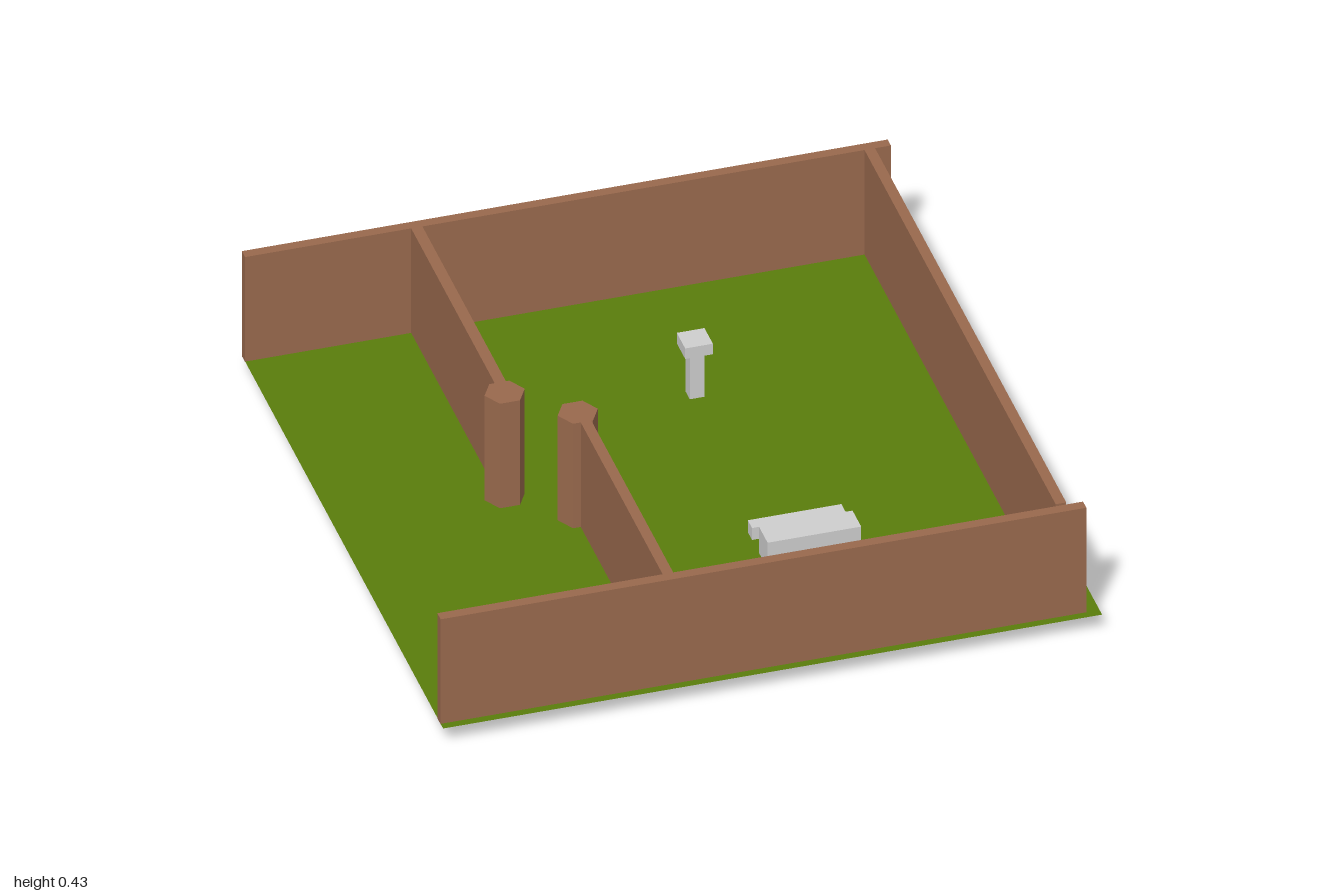
import * as THREE from 'three';

export function createModel() {
  const group = new THREE.Group();
  const mat = (name, color, extra = {}) => {
    const m = new THREE.MeshStandardMaterial({ color, ...extra });
    m.name = name;
    return m;
  };
  const grass = mat('grass green', 0x5a7d0c, { side: THREE.DoubleSide });
  const clay = mat('clay brown', 0x99694d, { flatShading: true });
  const stone = mat('pale stone', 0xcecece);

  const FLOOR = 0.066, BASE = 0.064, TOP = 0.434;

  // Box given by its limits on each axis
  const box = (name, material, [x0, x1], [y0, y1], [z0, z1]) => {
    const mesh = new THREE.Mesh(new THREE.BoxGeometry(x1 - x0, y1 - y0, z1 - z0), material);
    mesh.position.set((x0 + x1) / 2, (y0 + y1) / 2, (z0 + z1) / 2);
    mesh.name = name;
    group.add(mesh);
  };
  const wall = (name, xs, zs) => box(name, clay, xs, [BASE, TOP], zs);

  // Thin lawn sheet
  const lawn = new THREE.Mesh(new THREE.PlaneGeometry(2, 2).rotateX(-Math.PI / 2), grass);
  lawn.position.y = FLOOR;
  lawn.name = 'lawn';
  group.add(lawn);

  // Outer walls
  wall('backWall', [-1, 0.96], [-1, -0.968]);
  wall('frontWall', [-1, 0.96], [0.942, 0.975]);
  wall('leftWall', [0.88, 0.912], [-0.968, 0.932]);

  // Dividing walls, each ending at a gate post
  wall('backDivider', [-0.496, -0.462], [-0.968, -0.137]);
  wall('frontDivider', [-0.316, -0.284], [0.127, 0.942]);

  // Hexagonal gate posts, sunk through the lawn
  for (const [name, x, z] of [['backGatePost', -0.482, -0.085], ['frontGatePost', -0.309, 0.075]]) {
    const post = new THREE.Mesh(new THREE.CylinderGeometry(0.061, 0.061, TOP, 6), clay);
    post.rotation.y = Math.PI / 2;
    post.position.set(x, TOP / 2, z);
    post.name = name;
    group.add(post);
  }

  // Pedestal with a wider cap
  box('pedestalColumn', stone, [0.178, 0.222], [BASE, 0.225], [-0.45, -0.406]);
  box('pedestalCap', stone, [0.158, 0.242], [0.225, 0.262], [-0.47, -0.386]);

  // Table block and low bench
  box('table', stone, [0.14, 0.424], [BASE, 0.158], [0.406, 0.492]);
  box('bench', stone, [0.14, 0.424], [BASE, 0.108], [0.295, 0.337]);

  return group;
}
